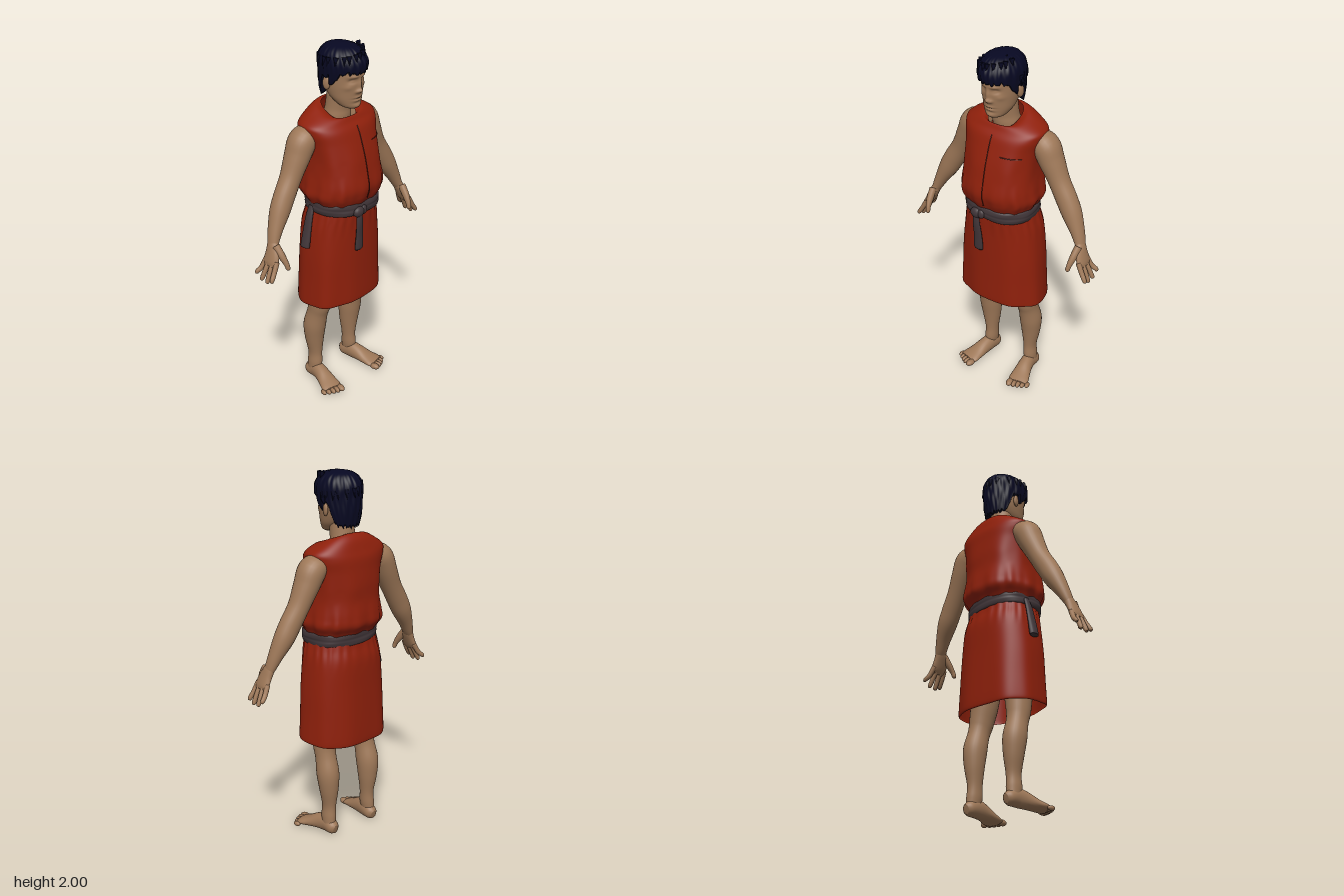
import * as THREE from 'three';

const mat = (name, color, side = THREE.FrontSide) => {
  const m = new THREE.MeshStandardMaterial({ color, side });
  m.name = name;
  return m;
};

// Catmull-Rom through rows of numbers, giving a dense smooth list of rows
function smoothRows(rows, count) {
  const out = [];
  for (let i = 0; i <= count; i++) {
    const f = (i / count) * (rows.length - 1);
    const k = Math.min(Math.floor(f), rows.length - 2), t = f - k;
    const at = (j) => rows[Math.max(0, Math.min(rows.length - 1, j))];
    const [a, b, c, d] = [at(k - 1), at(k), at(k + 1), at(k + 2)];
    out.push(b.map((_, n) => 0.5 * (2 * b[n] + (c[n] - a[n]) * t
      + (2 * a[n] - 5 * b[n] + 4 * c[n] - d[n]) * t * t
      + (3 * b[n] - a[n] - 3 * c[n] + d[n]) * t * t * t)));
  }
  return out;
}

// Skin over rings of points; ring(i, angle) gives one point
function skin(rings, segs, ring, capped) {
  const pos = [], idx = [];
  for (let i = 0; i < rings; i++)
    for (let j = 0; j < segs; j++) pos.push(...ring(i, (j / segs) * Math.PI * 2));
  for (let i = 0; i < rings - 1; i++)
    for (let j = 0; j < segs; j++) {
      const a = i * segs + j, c = i * segs + (j + 1) % segs;
      idx.push(a, a + segs, c, a + segs, c + segs, c);
    }
  if (capped) for (const i of [0, rings - 1]) {
    const mid = [0, 0, 0], id = pos.length / 3;
    for (let j = 0; j < segs; j++) for (let n = 0; n < 3; n++) mid[n] += pos[(i * segs + j) * 3 + n] / segs;
    pos.push(...mid);
    for (let j = 0; j < segs; j++) {
      const a = i * segs + j, b = i * segs + (j + 1) % segs;
      if (i === 0) idx.push(id, a, b); else idx.push(id, b, a);
    }
  }
  const g = new THREE.BufferGeometry();
  g.setAttribute('position', new THREE.Float32BufferAttribute(pos, 3));
  g.setIndex(idx);
  g.computeVertexNormals();
  return g;
}

const spow = (v, p) => Math.sign(v) * Math.abs(v) ** p;

// Upright body from rows [y, half width, centre z, half depth, rise at the front]
function stack(rows, { count = 40, segs = 72, p = 1, ripple = () => 0, capped = false } = {}) {
  const d = smoothRows(rows, count);
  return skin(d.length, segs, (i, a) => {
    const [y, rx, cz, rz, tilt = 0] = d[i], k = 1 + ripple(a, y);
    const s = spow(Math.sin(a), p);
    return [rx * k * spow(Math.cos(a), p), y + tilt * s, cz + rz * k * s];
  }, capped);
}

// Limb along a path from rows [x, y, z, radius across, radius along ref]
function limb(rows, ref = [0, 0, 1], segs = 20) {
  const d = smoothRows(rows, rows.length * 5);
  const c = d.map((r) => new THREE.Vector3(r[0], r[1], r[2]));
  const frames = c.map((_, i) => {
    const t = c[Math.min(i + 1, c.length - 1)].clone().sub(c[Math.max(i - 1, 0)]).normalize();
    const v = new THREE.Vector3(...ref).addScaledVector(t, -t.dot(new THREE.Vector3(...ref))).normalize();
    return [t.clone().cross(v), v];
  });
  return skin(d.length, segs, (i, a) => c[i].clone()
    .addScaledVector(frames[i][0], d[i][3] * Math.cos(a))
    .addScaledVector(frames[i][1], d[i][4] * Math.sin(a)).toArray(), true);
}

// Piecewise linear lookup in rows sorted by their first number
function lookup(rows, x) {
  let k = 0;
  while (k < rows.length - 2 && x > rows[k + 1][0]) k++;
  const a = rows[k], b = rows[k + 1];
  const t = Math.max(0, Math.min(1, (x - a[0]) / (b[0] - a[0])));
  return a.map((v, n) => v + (b[n] - v) * t);
}

export function createModel() {
  const model = new THREE.Group();
  model.name = 'manInTunic';
  const skinTone = mat('skin', 0x9e7858);
  const red = mat('redCloth', 0x8f200b, THREE.DoubleSide);
  const hairBlue = mat('darkBlueHair', 0x070822, THREE.DoubleSide);
  const sash = mat('greySash', 0x403538);
  const seam = mat('darkSeam', 0x4e150b);
  const add = (name, geo, material, parent = model) => {
    const m = new THREE.Mesh(geo, material);
    m.name = name;
    parent.add(m);
    return m;
  };
  const blob = (name, p, s, material, parent) => {
    const m = add(name, new THREE.SphereGeometry(1, 20, 14), material, parent);
    m.position.set(...p);
    m.scale.set(...s);
    return m;
  };

  // Sleeveless top, bloused over the sash, collar low at the front
  const topRows = [
    [1.14, .185, 0, .155, 0], [1.17, .2, 0, .172, 0], [1.21, .218, -.004, .192, 0], [1.26, .214, 0, .196, 0],
    [1.34, .205, -.003, .184, 0], [1.42, .204, -.012, .175, 0], [1.5, .213, -.022, .159, 0], [1.56, .229, -.031, .145, 0],
    [1.598, .226, -.038, .126, -.004], [1.635, .165, -.036, .11, -.018], [1.65, .12, -.028, .094, -.032],
    [1.642, .086, -.022, .08, -.042]];
  add('tunicTop', stack(topRows, { count: 66, segs: 120, p: .82, ripple: (a, y) => {
    const low = Math.max(0, 1 - Math.abs(y - 1.2) / .14), high = Math.max(0, 1 - Math.abs(y - 1.4) / .16);
    return .02 * low * (Math.sin(12 * a) + .6 * Math.sin(20 * a)) + .014 * high * Math.sin(8 * a);
  } }), red);

  // Front opening and pocket seams lying on the chest
  const chest = smoothRows(topRows.slice(0, 9), 80);
  const onChest = (x, y) => {
    const [, rx, cz, rz] = lookup(chest, y);
    return new THREE.Vector3(x, y, cz + rz * (1 - Math.abs(x / rx) ** (2 / .82)) ** .41 + .001);
  };
  const line = (name, pts) => add(name, new THREE.TubeGeometry(
    new THREE.CatmullRomCurve3(pts.map(([x, y]) => onChest(x, y))), 32, .0028, 6), seam);
  line('frontOpening', [1.575, 1.54, 1.48, 1.4, 1.32, 1.25, 1.19].map((y) => [.006, y]));
  line('pocketSeam', [.08, .1, .12, .14, .16, .18].map((x) => [x, 1.485 - x * .05]));

  // Skirt, open at the hem
  add('skirt', stack([
    [.55, .242, -.018, .17, .014], [.56, .246, -.018, .175, .014], [.6, .245, -.018, .176, .012],
    [.7, .24, -.017, .174, .005], [.85, .233, -.015, .171, 0], [1, .217, -.014, .168, 0],
    [1.08, .2, -.005, .16, 0], [1.14, .185, 0, .155, 0]],
  { segs: 120, p: .82, ripple: (a, y) => .024 * (1.14 - y) * (Math.sin(5 * a + 1) + Math.sin(8 * a))
      + .014 * Math.max(0, 1 - Math.abs(y - 1.07) / .1) * Math.sin(24 * a) }), red);

  // Sash with knot and two hanging ends
  const belt = new THREE.Group();
  belt.name = 'sash';
  model.add(belt);
  const bandTilt = new THREE.Group();
  bandTilt.name = 'sashBandTilt';
  bandTilt.position.y = 1.135;
  bandTilt.rotation.z = -.05;
  belt.add(bandTilt);
  add('sashBand', stack([
    [-.038, .178, .002, .148], [-.034, .195, .004, .166], [-.014, .201, .005, .172], [0, .2, .005, .171],
    [.014, .201, .005, .172], [.032, .196, .004, .167], [.038, .178, .002, .148]],
  { p: .84, ripple: (a, y) => .008 * Math.sin(7 * a) + .006 * Math.sin(5 * a + 90 * y) }), sash, bandTilt);
  blob('sashKnot', [-.048, 1.122, .173], [.036, .03, .022], sash, belt);
  blob('sashKnotFold', [-.015, 1.125, .177], [.022, .026, .014], sash, belt);
  add('frontSashEnd', limb([[-.048, 1.12, .176, .016, .012], [-.045, 1.06, .178, .022, .012],
    [-.04, .98, .172, .026, .011], [-.04, .905, .168, .029, .012], [-.04, .898, .168, .024, .006]]), sash, belt);
  add('sideSashEnd', limb([[-.192, 1.14, -.03, .01, .018], [-.212, 1.08, -.03, .012, .024],
    [-.23, 1, -.03, .014, .028], [-.245, .92, -.03, .018, .03], [-.246, .914, -.03, .012, .025]]), sash, belt);

  // Head: smooth ovals with a face pressed in by soft bumps [x, y, spread x, spread y, depth]
  const head = new THREE.Group();
  head.name = 'head';
  model.add(head);
  const faceGeo = stack([
    [1.672, .034, .072, .034], [1.685, .056, .056, .058], [1.72, .077, .032, .086], [1.76, .087, .016, .107],
    [1.8, .092, .01, .117], [1.84, .093, .01, .12], [1.88, .093, .01, .123], [1.93, .085, .01, .112],
    [1.97, .055, .01, .075]], { count: 70, segs: 96, capped: true });
  const bumps = [[.038, 1.825, .018, .012, -.014], [.036, 1.823, .011, .006, .006], [.035, 1.848, .025, .008, .007],
    [0, 1.8, .011, .03, .012], [0, 1.772, .014, .012, .019], [.017, 1.768, .008, .008, .008],
    [0, 1.735, .025, .006, .006], [0, 1.727, .028, .003, -.006], [0, 1.718, .022, .006, .006],
    [0, 1.704, .03, .006, -.004], [0, 1.686, .022, .01, .005], [.06, 1.79, .016, .014, .005]];
  const fp = faceGeo.attributes.position;
  for (let i = 0; i < fp.count; i++) {
    const x = Math.abs(fp.getX(i)), y = fp.getY(i);
    if (fp.getZ(i) < .02) continue;
    fp.setZ(i, fp.getZ(i) + bumps.reduce((s, [bx, by, sx, sy, dz]) =>
      s + dz * Math.exp(-(((x - bx) / sx) ** 2) - ((y - by) / sy) ** 2), 0));
  }
  faceGeo.computeVertexNormals();
  add('face', faceGeo, skinTone, head);
  add('neck', limb([[0, 1.55, -.045, .085, .07], [0, 1.61, -.03, .076, .07], [0, 1.66, -.024, .068, .064],
    [0, 1.76, -.01, .066, .065]], [0, 0, 1], 32), skinTone, head);

  // Hair cap with an uneven lower edge: high over the face and ears, low at the nape
  const hairRows = smoothRows([[1.7, .08, -.035, .072], [1.76, .098, -.02, .1], [1.81, .107, -.005, .122],
    [1.87, .113, .008, .137], [1.92, .113, .008, .138], [1.96, .096, .004, .115], [1.985, .062, 0, .078],
    [1.995, .005, 0, .006]], 80);
  const edge = [[-1, 1.715], [-.42, 1.725], [-.28, 1.835], [.12, 1.845], [.2, 1.8], [.34, 1.8],
    [.5, 1.855], [.75, 1.875], [1, 1.868]];
  add('hair', skin(36, 144, (i, a) => {
    const low = lookup(edge, Math.sin(a))[1] + .007 * Math.sin(23 * a) + .005 * Math.sin(37 * a + 1);
    const t = Math.sin((i / 35) * Math.PI / 2), y = low + (1.995 - low) * t;
    const [, rx, cz, rz] = lookup(hairRows, y);
    const k = 1 + .014 * Math.sin(17 * a + 25 * y) + .012 * Math.sin(29 * a - 40 * y);
    return [rx * k * Math.cos(a), y, cz + rz * k * Math.sin(a)];
  }, true), hairBlue, head);
  // Loose tufts lying along the cap
  for (let i = 0; i < 20; i++) {
    const a = i * 2.4, y = 1.87 + .1 * ((i * .618) % 1), [, rx, cz, rz] = lookup(hairRows, y);
    const out = new THREE.Vector3(Math.cos(a), -3.2, Math.sin(a)).normalize();
    const tuft = add('hairTuft', new THREE.ConeGeometry(.014, .05, 6), hairBlue, head);
    tuft.position.set(rx * Math.cos(a), y, cz + rz * Math.sin(a));
    tuft.quaternion.setFromUnitVectors(new THREE.Vector3(0, 1, 0), out);
  }
  // Small upswept lock on the crown
  const crown = add('crownLock', new THREE.ConeGeometry(.02, .05, 6), hairBlue, head);
  crown.position.set(.035, 1.975, .03);
  crown.rotation.z = -.5;

  // Paired parts
  for (const s of [1, -1]) {
    const side = s > 0 ? 'left' : 'right';
    const flip = (rows) => rows.map(([x, ...rest]) => [x * s, ...rest]);
    const ear = blob(side + 'Ear', [.1 * s, 1.803, -.008], [.012, .035, .021], skinTone, head);
    ear.rotation.y = -.3 * s;

    const arm = new THREE.Group();
    arm.name = side + 'Arm';
    model.add(arm);
    add('armLength', limb(flip([[.165, 1.54, -.05, .055, .065], [.225, 1.515, -.055, .074, .077],
      [.265, 1.44, -.056, .067, .071], [.315, 1.34, -.055, .057, .058], [.368, 1.25, -.05, .058, .055],
      [.407, 1.18, -.045, .054, .053], [.45, 1.1, -.034, .038, .042], [.477, 1.04, -.024, .027, .034],
      [.492, 1.005, -.014, .018, .03]]), [0, 0, 1], 28), skinTone, arm);
    add('palm', limb(flip([[.465, 1.07, -.03, .016, .02], [.48, 1.035, -.022, .024, .032],
      [.498, .99, -.008, .023, .045], [.517, .945, -.003, .019, .051], [.527, .925, -.003, .011, .044]])), skinTone, arm);
    [[-.041, -.062, .872], [-.015, -.026, .846], [.012, .014, .843], [.037, .048, .858]].forEach(([z0, z1, y]) =>
      add('finger', limb(flip([[.511, .955, z0, .014, .014], [.537, .905, (z0 + z1) / 2, .0135, .0135],
        [.559, y + .012, z1, .012, .012], [.564, y, z1, .007, .007]]), [0, 0, 1], 12), skinTone, arm));
    add('thumb', limb(flip([[.487, 1.03, .005, .02, .022], [.482, .985, .04, .019, .021],
      [.475, .945, .067, .014, .015], [.471, .918, .077, .012, .012], [.47, .91, .079, .006, .006]]),
    [0, 0, 1], 14), skinTone, arm);

    const leg = new THREE.Group();
    leg.name = side + 'Leg';
    model.add(leg);
    add('legLength', limb(flip([[.145, .04, -.085, .03, .038], [.14, .1, -.075, .036, .046],
      [.137, .17, -.075, .036, .043], [.14, .27, -.077, .052, .056], [.142, .36, -.071, .061, .065],
      [.139, .45, -.05, .056, .06], [.134, .52, -.034, .062, .068], [.12, .66, -.02, .075, .08],
      [.105, .95, -.01, .085, .09]]), [0, 0, 1], 28), skinTone, leg);
    add('foot', limb(flip([[.139, .034, -.134, .018, .024], [.14, .04, -.112, .035, .038],
      [.142, .052, -.06, .038, .05], [.15, .047, -.01, .042, .045], [.163, .033, .045, .051, .031],
      [.174, .024, .085, .058, .022], [.18, .018, .11, .054, .016]]), [0, 1, 0], 28), skinTone, leg);
    for (let i = 0; i < 5; i++) {
      const toe = blob('toe', [s * (.143 + i * .022 + (i ? .005 : 0)), .018 - i * .0012, .132 - i * i * .0016 - i * .004],
        [i ? .0125 : .019, .017 - i * .001, .03 - i * .002], skinTone, leg);
      toe.rotation.y = .2 * s;
    }
  }
  return model;
}
